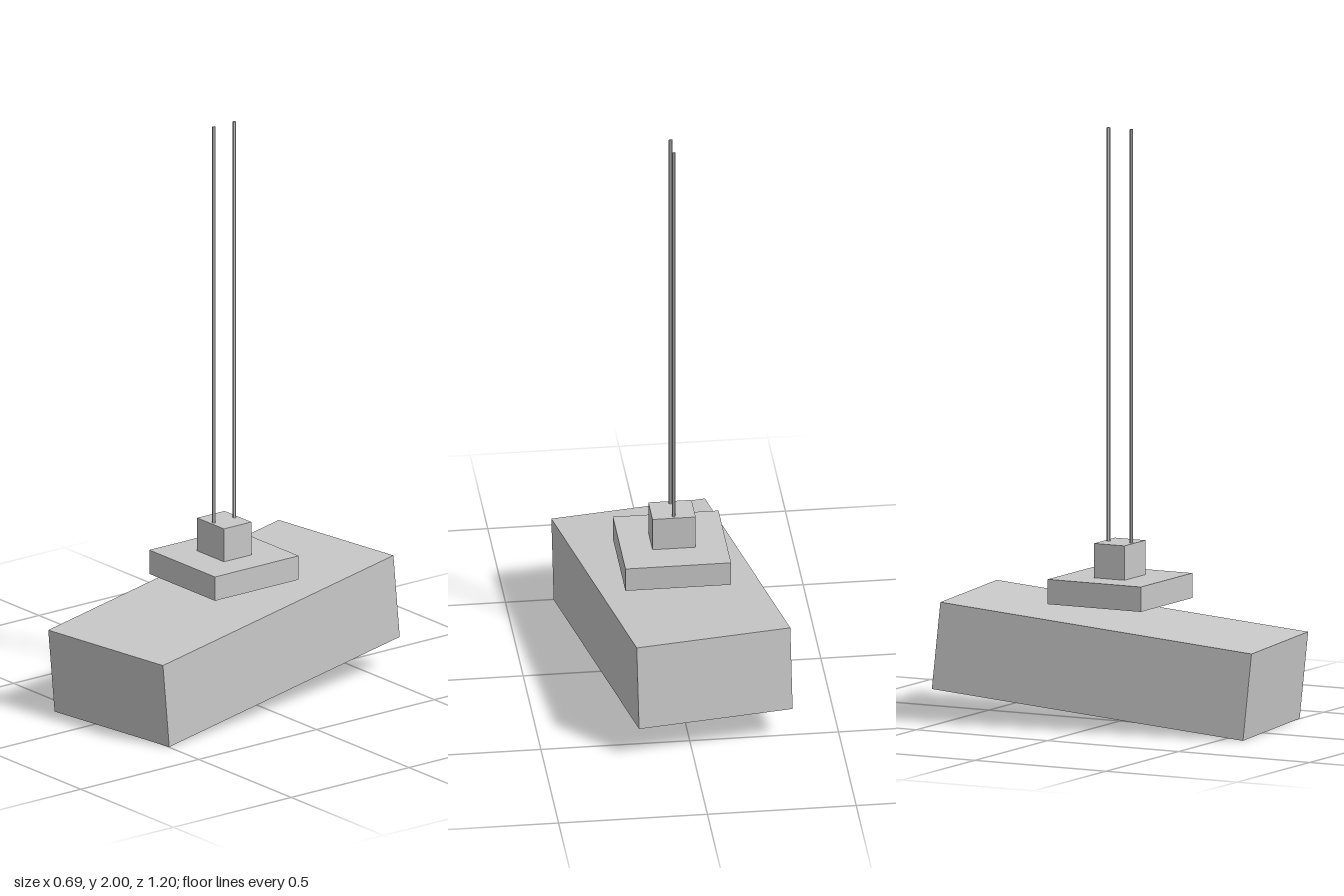
import * as THREE from 'three';

export function createModel() {
  const model = new THREE.Group();
  model.name = 'hangingLamp';

  const grey = new THREE.MeshStandardMaterial({ color: 0xc8c8c8, side: THREE.DoubleSide });
  grey.name = 'light grey';

  const add = (name, geometry, x, y, z) => {
    const mesh = new THREE.Mesh(geometry, grey);
    mesh.name = name;
    mesh.position.set(x, y, z);
    model.add(mesh);
    return mesh;
  };

  // Thin shade: a box without its underside, tipped forward and turned
  const shadeGeometry = new THREE.BoxGeometry(0.53, 0.296, 1.117);
  const corners = Array.from(shadeGeometry.index.array);
  corners.splice(18, 6); // drop the bottom face
  shadeGeometry.setIndex(corners);
  shadeGeometry.clearGroups();
  const shade = add('shade', shadeGeometry, 0, 0.205, 0);
  shade.rotation.set(0.103, 0.141, 0, 'YXZ');

  // Square mounting plate with a small block on it
  add('mountingPlate', new THREE.BoxGeometry(0.355, 0.084, 0.355), 0, 0.447, 0);
  add('cableBlock', new THREE.BoxGeometry(0.145, 0.116, 0.116), 0, 0.547, -0.001);

  // Two suspension cables
  const bottom = 0.6;
  const top = 2;
  for (const [name, z] of [['frontCable', 0.043], ['backCable', -0.044]]) {
    const cable = new THREE.CylinderGeometry(0.006, 0.006, top - bottom, 6);
    cable.rotateY(Math.PI / 2);
    add(name, cable.toNonIndexed(), 0, (top + bottom) / 2, z).geometry.computeVertexNormals();
  }

  return model;
}
